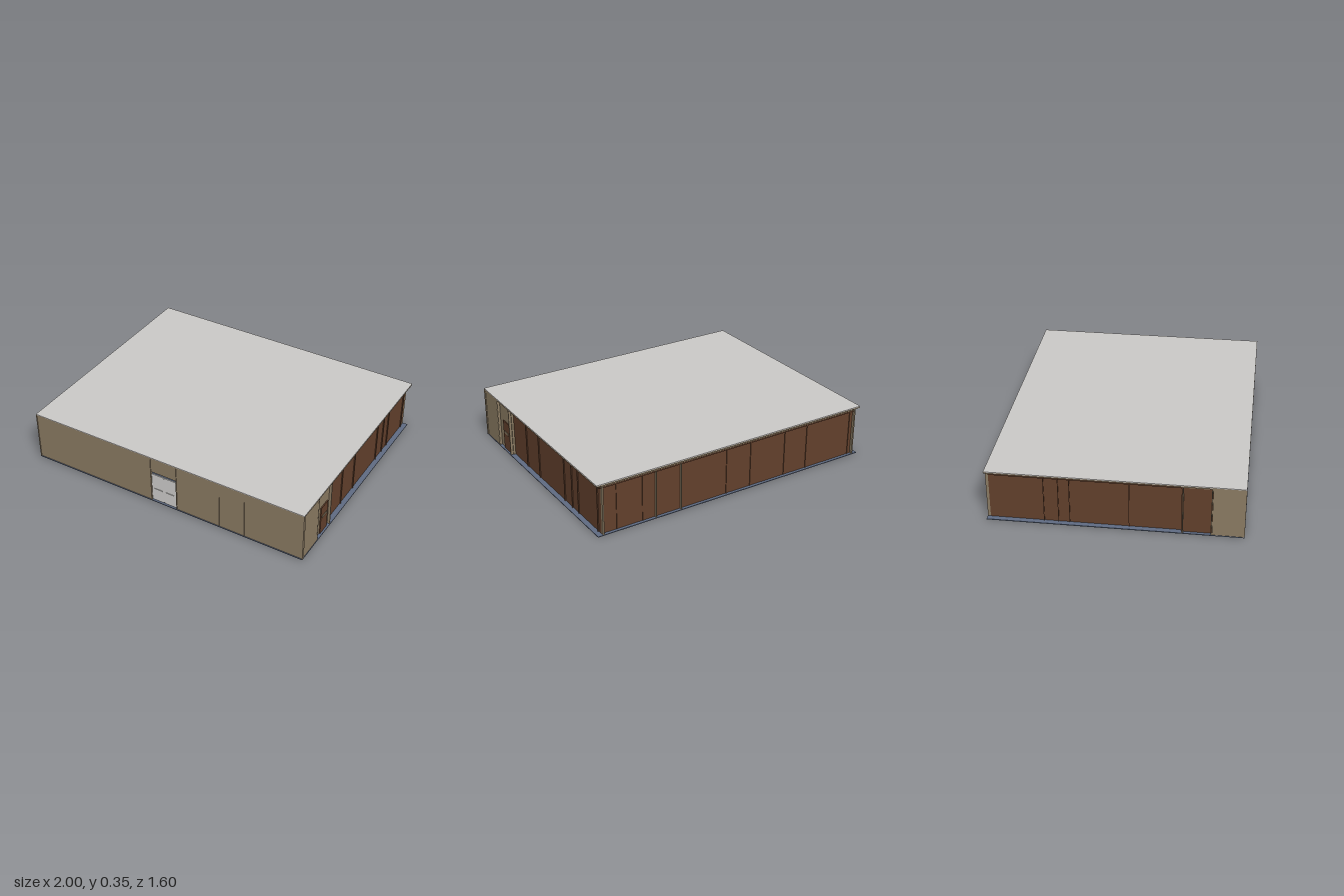
import * as THREE from 'three';

const material = (name, color) => {
  const m = new THREE.MeshStandardMaterial({ color });
  m.name = name;
  return m;
};

export function createModel() {
  const model = new THREE.Group();
  model.name = 'building';

  const roofGrey = material('roofGrey', 0xcac8c6);
  const tan = material('tan', 0x8b7b63);
  const brown = material('brown', 0x62402c);
  const slate = material('slate', 0x5f6b82);
  const white = material('doorWhite', 0xcfcecc);

  // Box given by its lower and upper limits on each axis
  const block = (name, mat, x0, x1, y0, y1, z0, z1) => {
    const mesh = new THREE.Mesh(new THREE.BoxGeometry(x1 - x0, y1 - y0, z1 - z0), mat);
    mesh.position.set((x0 + x1) / 2, (y0 + y1) / 2, (z0 + z1) / 2);
    mesh.name = name;
    model.add(mesh);
    return mesh;
  };
  // Same, on the right side (s = 1) or mirrored to the left side (s = -1)
  const sideBlock = (s, name, mat, x0, x1, ...rest) =>
    block(name, mat, s > 0 ? x0 : -x1, s > 0 ? x1 : -x0, ...rest);

  const floorTop = 0.005, wallTop = 0.325, eaves = 0.34;

  // Floor and roof
  block('floorSlab', slate, -1, 1, 0, floorTop, -0.8, 0.8);
  block('roofEdge', tan, -1, 1, eaves, 0.347, -0.8, 0.8);
  block('roofTop', roofGrey, -1, 1, 0.347, 0.352, -0.8, 0.8);
  block('roofBeam', tan, -0.97, 0.97, wallTop, eaves, -0.785, 0.785);

  // Front wall with a door opening
  const wall = new THREE.Shape();
  wall.moveTo(-1, floorTop);
  wall.lineTo(-0.092, floorTop);
  wall.lineTo(-0.092, 0.235);
  wall.lineTo(0.092, 0.235);
  wall.lineTo(0.092, floorTop);
  wall.lineTo(1, floorTop);
  wall.lineTo(1, eaves);
  wall.lineTo(-1, eaves);
  const frontWall = new THREE.Mesh(
    new THREE.ExtrudeGeometry(wall, { depth: 0.015, bevelEnabled: false }), tan);
  frontWall.position.z = 0.78;
  frontWall.name = 'frontWall';
  model.add(frontWall);
  for (const x of [-0.096, 0.096, 0.41, 0.59, 0.998, -0.998])
    block('frontFin', tan, x - 0.002, x + 0.002, floorTop, eaves, 0.79, 0.8);

  // Double front door: rounded leaves in front of a slate panel
  block('doorBacking', slate, -0.092, 0.092, floorTop, 0.235, 0.775, 0.784);
  const leaf = new THREE.Shape();
  leaf.moveTo(0.008, 0.01);
  leaf.lineTo(0.08, 0.01);
  leaf.quadraticCurveTo(0.092, 0.01, 0.092, 0.02);
  leaf.lineTo(0.092, 0.206);
  leaf.quadraticCurveTo(0.092, 0.216, 0.08, 0.216);
  leaf.lineTo(0.008, 0.216);
  leaf.quadraticCurveTo(0, 0.216, 0, 0.21);
  leaf.lineTo(0, 0.016);
  leaf.quadraticCurveTo(0, 0.01, 0.008, 0.01);
  const leafGeometry = new THREE.ExtrudeGeometry(leaf, { depth: 0.006, bevelEnabled: false });
  for (const s of [-1, 1]) {
    const door = new THREE.Mesh(leafGeometry, white);
    door.position.set(s > 0 ? 0 : -0.092, 0, 0.785);
    door.name = 'frontDoorLeaf';
    model.add(door);
    block('doorHandle', white, s * 0.045 - 0.03, s * 0.045 + 0.03, 0.1, 0.105, 0.791, 0.795);
  }

  // Brown back wall with its lintel
  block('backWall', brown, -0.965, 0.965, floorTop, wallTop, -0.78, -0.765);
  block('backLintel', brown, -0.965, 0.965, 0.316, wallTop, -0.787, -0.78);
  for (const x of [0.86, 0.68, 0.065, -0.12, -0.39, -0.57, -0.93])
    block('backRib', brown, x - 0.002, x + 0.002, floorTop, 0.316, -0.785, -0.78);
  for (const x of [0.41, 0.59])
    block('backFin', tan, x - 0.002, x + 0.002, floorTop, wallTop, -0.798, -0.78);

  // Side walls: brown main part, tan return wall at the front
  const ribs = { 1: [0.21, 0.03, -0.32, -0.42, -0.5, -0.745], '-1': [0.09, -0.28, -0.35, -0.44] };
  for (const s of [1, -1]) {
    sideBlock(s, 'sideWall', brown, 0.95, 0.965, floorTop, wallTop, -0.78, 0.41);
    sideBlock(s, 'sideLintel', brown, 0.965, 0.975, 0.316, wallTop, -0.78, 0.41);
    for (const z of ribs[s])
      sideBlock(s, 'sideRib', brown, 0.965, 0.972, floorTop, 0.316, z - 0.002, z + 0.002);
    sideBlock(s, 'returnWall', tan, 0.98, 0.997, floorTop, eaves, 0.6, 0.785);
    sideBlock(s, 'entryWall', s > 0 ? tan : brown, 0.965, 0.98, floorTop, wallTop, 0.41, 0.6);
    sideBlock(s, 'entryBeam', tan, 0.965, 0.982, wallTop, eaves, 0.41, 0.6);
    for (const z of [0.42, 0.595])
      sideBlock(s, 'sideFin', tan, 0.965, 0.997, floorTop, eaves, z - 0.003, z + 0.003);
    // Tan corner post at the back
    sideBlock(s, 'backCornerPost', tan, 0.955, 0.965, floorTop, eaves, -0.798, -0.78);
  }

  // Right side door with a slot
  block('sideDoor', brown, 0.98, 0.987, floorTop, 0.212, 0.445, 0.537);
  block('sideDoorSlot', tan, 0.987, 0.99, 0.123, 0.14, 0.461, 0.521);

  return model;
}
